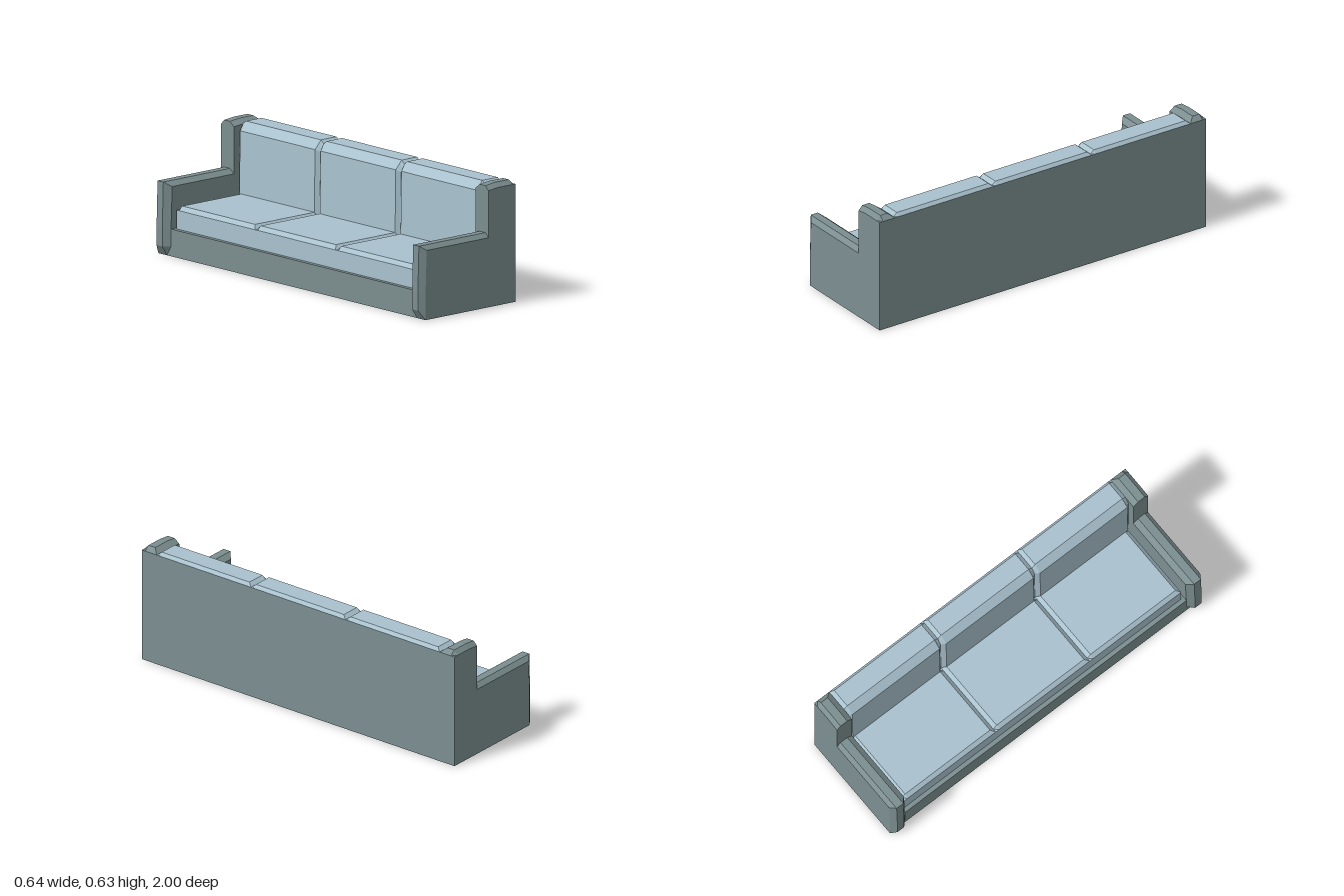
import * as THREE from 'three';

const frameMat = new THREE.MeshStandardMaterial({ color: 0x7c8e90, flatShading: true, side: THREE.DoubleSide });
const cushionMat = new THREE.MeshStandardMaterial({ color: 0xa9c2ce, flatShading: true, side: THREE.DoubleSide });

// Skin between [x, y] profiles placed at rising z
function loft(sections) {
  const pos = [];
  for (let s = 0; s < sections.length - 1; s++) {
    const [A, B] = [sections[s], sections[s + 1]];
    for (let i = 0; i < A.profile.length - 1; i++) {
      const a = [...A.profile[i], A.z], b = [...A.profile[i + 1], A.z];
      const c = [...B.profile[i + 1], B.z], d = [...B.profile[i], B.z];
      pos.push(...a, ...d, ...b, ...b, ...d, ...c);
    }
  }
  const g = new THREE.BufferGeometry();
  g.setAttribute('position', new THREE.Float32BufferAttribute(pos, 3));
  g.computeVertexNormals();
  return g;
}

// Flat panel in the xy plane
function panel(points, z) {
  const shape = new THREE.Shape(points.map(([x, y]) => new THREE.Vector2(x, y)));
  return new THREE.ShapeGeometry(shape).translate(0, 0, z);
}

function add(parent, name, geometry, material) {
  const m = new THREE.Mesh(geometry, material);
  m.name = name;
  parent.add(m);
  return m;
}

export function createModel() {
  const sofa = new THREE.Group();
  sofa.name = 'sofa';
  const LEDGE = 0.14, INNER = 0.905, SEAT_END = 0.89;

  // Arms: stepped side panel with a bevelled rim, open underneath
  const edge = [[-0.288, 0], [-0.288, 0.05], [-0.288, LEDGE], [-0.28, 0.358], [0.137, 0.358],
    [0.137, 0.6], [0.2, 0.607], [0.294, 0.607], [0.32, 0.607]];
  const rim = [[-0.288, 0], [-0.32, 0.05], [-0.32, LEDGE], [-0.313, 0.381], [0.137, 0.381],
    [0.137, 0.623], [0.2, 0.63], [0.294, 0.63], [0.32, 0.607]];
  for (const side of [1, -1]) {
    const arm = new THREE.Group();
    arm.name = side > 0 ? 'armFrontSide' : 'armRearSide';
    add(arm, 'armRim', loft([
      { profile: edge, z: INNER }, { profile: rim, z: 0.935 },
      { profile: rim, z: 0.978 }, { profile: edge, z: 1 },
    ]), frameMat);
    add(arm, 'armOuterPanel', panel([...edge, [0.32, 0]], 1), frameMat);
    add(arm, 'armInnerPanel', panel([...edge.slice(2), [0.32, LEDGE]], INNER), frameMat);
    arm.scale.z = side;
    sofa.add(arm);
  }

  // Back panel
  add(sofa, 'backPanel', loft([-1, 1].map(z => ({ profile: [[0.32, 0.607], [0.32, 0]], z }))), frameMat);

  // Front rail with the ledge around the seat
  const rail = [[-0.288, 0], [-0.288, LEDGE], [-0.265, LEDGE]];
  add(sofa, 'frontRail', loft([-INNER, INNER].map(z => ({ profile: rail, z }))), frameMat);
  for (const s of [-1, 1]) {
    const strip = [[-0.265, LEDGE], [0.32, LEDGE]];
    const zs = [s * SEAT_END, s * INNER].sort((a, b) => a - b);
    add(sofa, 'sideLedge', loft(zs.map(z => ({ profile: strip, z }))), frameMat);
  }

  // Three cushions in a row: dips at the seams, full profile between them
  const cushionRow = (full, dip, end) => {
    const seams = [-end, -0.302, 0.302, end], sections = [];
    seams.forEach((z, i) => {
      if (i > 0) sections.push({ profile: full, z: z - 0.021 });
      sections.push({ profile: dip, z });
      if (i < 3) sections.push({ profile: full, z: z + 0.021 });
    });
    return loft(sections);
  };

  // Seat cushions with end walls
  add(sofa, 'seatCushions', cushionRow(
    [[-0.265, LEDGE], [-0.265, 0.237], [-0.245, 0.258], [0.155, 0.258], [0.175, 0.237]],
    [[-0.265, LEDGE], [-0.265, 0.237], [-0.245, 0.237], [0.155, 0.237], [0.175, 0.237]],
    SEAT_END), cushionMat);
  for (const s of [-1, 1]) {
    add(sofa, 'seatEnd', panel([[-0.265, LEDGE], [0.175, LEDGE], [0.175, 0.237], [-0.265, 0.237]], s * SEAT_END), cushionMat);
  }

  // Back cushions
  add(sofa, 'backCushions', cushionRow(
    [[0.155, 0.237], [0.16, 0.58], [0.2, 0.624], [0.305, 0.624], [0.32, 0.607]],
    [[0.175, 0.237], [0.178, 0.57], [0.2, 0.607], [0.305, 0.607], [0.32, 0.607]],
    INNER), cushionMat);

  return sofa;
}
